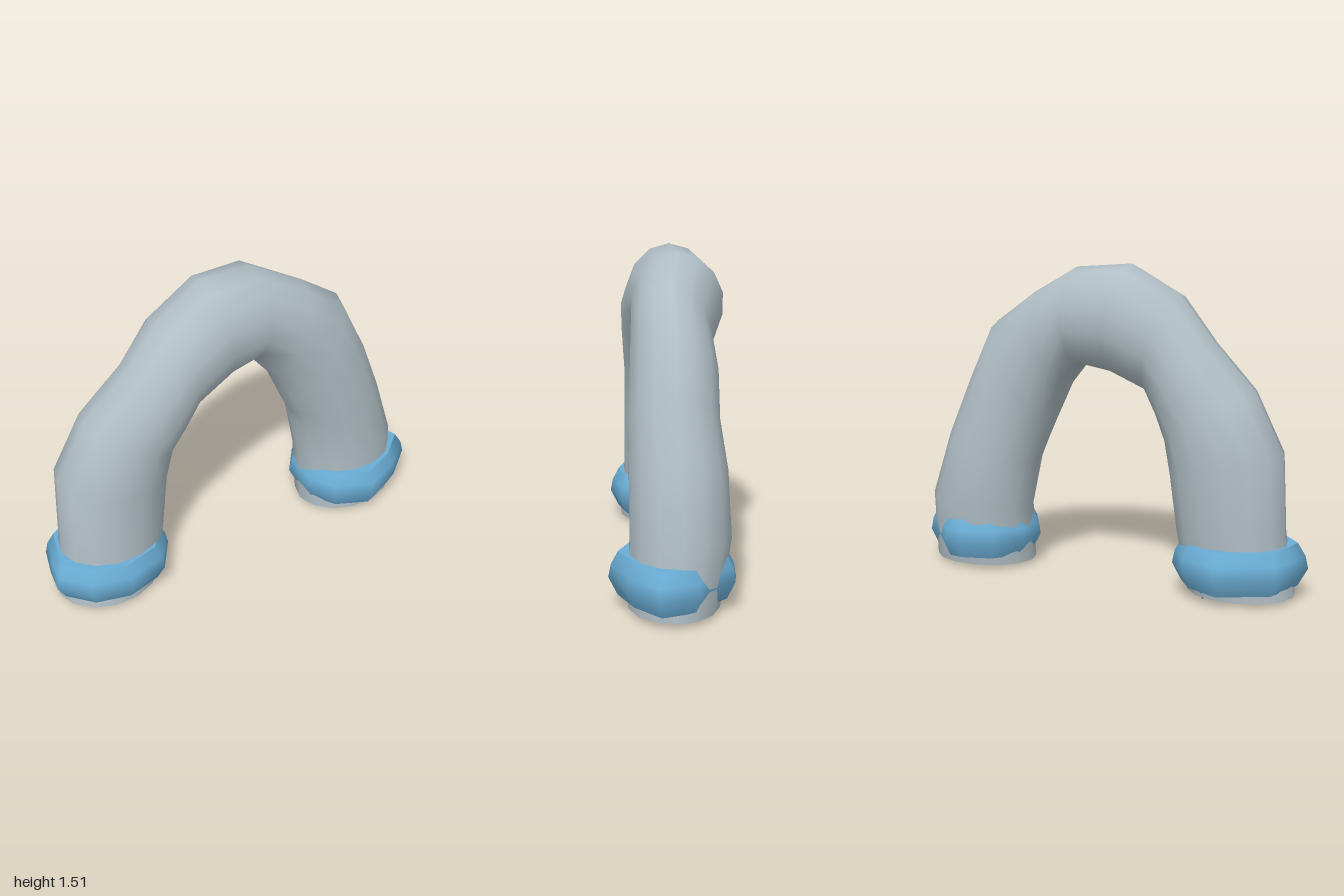
import * as THREE from 'three';

// Joins rings of points into a skin; optional flat caps at both ends
function loft(rings, capped = false) {
  const n = rings[0].length, pos = [], idx = [];
  rings.forEach(r => r.forEach(p => pos.push(...p)));
  for (let i = 0; i < rings.length - 1; i++) {
    for (let j = 0; j < n; j++) {
      const a = i * n + j, b = i * n + (j + 1) % n;
      idx.push(a, a + n, b, b, a + n, b + n);
    }
  }
  if (capped) {
    [0, rings.length - 1].forEach((k, end) => {
      const base = pos.length / 3;
      rings[k].forEach(p => pos.push(...p));
      for (let j = 1; j < n - 1; j++) {
        if (end) idx.push(base, base + j + 1, base + j);
        else idx.push(base, base + j, base + j + 1);
      }
    });
  }
  const g = new THREE.BufferGeometry();
  g.setAttribute('position', new THREE.Float32BufferAttribute(pos, 3));
  g.setIndex(idx);
  g.computeVertexNormals();
  return g;
}

export function createModel() {
  const model = new THREE.Group();
  const grey = new THREE.MeshStandardMaterial({ color: 0xb0bec5, side: THREE.DoubleSide });
  grey.name = 'pale grey';
  const blue = new THREE.MeshStandardMaterial({ color: 0x6baed6, side: THREE.DoubleSide });
  blue.name = 'sky blue';
  const add = (name, geometry, material) => {
    const m = new THREE.Mesh(geometry, material);
    m.name = name;
    model.add(m);
  };

  // Arched tube: outer x, y, inner x, y, front z, back z of each section
  const sections = [
    [-0.96, 0.02, -0.45, 0.02, 0.22, -0.20],
    [-0.92, 0.30, -0.40, 0.30, 0.20, -0.22],
    [-0.905, 0.68, -0.37, 0.55, 0.20, -0.24],
    [-0.76, 0.96, -0.34, 0.70, 0.20, -0.22],
    [-0.55, 1.17, -0.29, 0.81, 0.21, -0.19],
    [-0.38, 1.38, -0.24, 0.92, 0.22, -0.20],
    [-0.15, 1.51, -0.06, 1.00, 0.20, -0.22],
    [0.12, 1.49, 0.09, 1.03, 0.18, -0.25],
    [0.37, 1.36, 0.20, 0.90, 0.19, -0.18],
    [0.58, 1.21, 0.28, 0.72, 0.20, -0.20],
    [0.71, 0.94, 0.325, 0.63, 0.21, -0.20],
    [0.82, 0.66, 0.36, 0.54, 0.21, -0.23],
    [0.92, 0.35, 0.41, 0.30, 0.21, -0.24],
    [0.93, 0.02, 0.41, 0.02, 0.22, -0.19],
  ];
  const sides = 14;
  add('archTube', loft(sections.map(([ox, oy, ix, iy, zf, zb]) =>
    Array.from({ length: sides }, (_, j) => {
      const a = j / sides * Math.PI * 2, c = Math.cos(a) / 2, s = Math.sin(a) / 2;
      return [(ox + ix) / 2 + (ox - ix) * c, (oy + iy) / 2 + (oy - iy) * c,
        (zf + zb) / 2 + (zf - zb) * s];
    }))), grey);

  // Irregular collars: x, z outline at the widest level, shrunk above and below
  const levels = [[0.06, 0.86], [0.14, 1], [0.2, 0.96], [0.26, 0.85]];
  const collar = (name, cx, cz, outline) => add(name, loft(levels.map(([y, k]) =>
    outline.map(([x, z]) => [cx + (x - cx) * k, y, cz + (z - cz) * k])), true), blue);
  collar('leftCollar', 0.68, 0.01, [
    [1.0, 0.09], [0.94, -0.08], [0.86, -0.13], [0.75, -0.25], [0.66, -0.26],
    [0.5, -0.21], [0.4, -0.08], [0.4, 0.09], [0.48, 0.22], [0.66, 0.30], [0.85, 0.22],
  ]);
  collar('rightCollar', -0.69, -0.01, [
    [-0.4, 0.07], [-0.4, -0.09], [-0.5, -0.22], [-0.69, -0.31], [-0.94, -0.17],
    [-0.98, -0.03], [-1.0, 0.09], [-0.88, 0.22], [-0.69, 0.27], [-0.5, 0.22],
  ]);

  // Small drip hanging under the right collar
  const drip = new THREE.ConeGeometry(0.045, 0.07, 4);
  drip.rotateX(Math.PI);
  drip.translate(-0.58, 0.037, -0.15);
  add('drip', drip, blue);
  return model;
}
